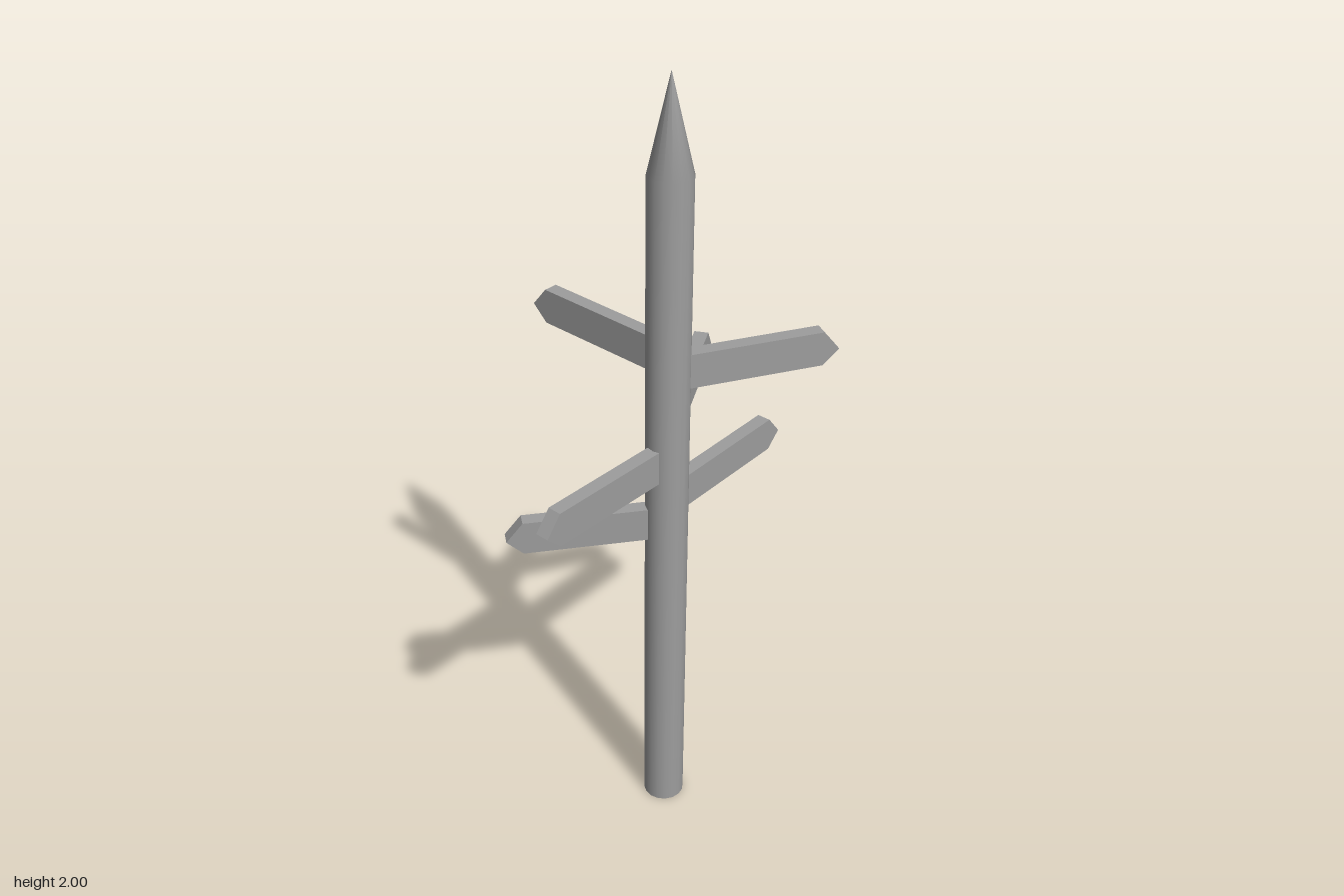
import * as THREE from 'three';

const material = new THREE.MeshStandardMaterial({ color: 0x9d9d9d });
const POST = { x: 0.087, z: 0.006, radius: 0.052, shoulder: 1.775, top: 2 };
const BOARD = { height: 0.087, thickness: 0.035, point: 0.04 };

// Arrow board running along +x, bottom edge on y = 0
function boardGeometry(length) {
  const { height, thickness, point } = BOARD;
  const shape = new THREE.Shape([
    new THREE.Vector2(0, 0),
    new THREE.Vector2(length - point, 0),
    new THREE.Vector2(length, height * 0.43),
    new THREE.Vector2(length - point, height),
    new THREE.Vector2(0, height),
  ]);
  return new THREE.ExtrudeGeometry(shape, { depth: thickness, bevelEnabled: false })
    .translate(0, 0, -thickness / 2);
}

export function createModel() {
  const model = new THREE.Group();
  model.name = 'signpost';

  const add = (geometry, name, x, y, z) => {
    const mesh = new THREE.Mesh(geometry, material);
    mesh.name = name;
    mesh.position.set(x, y, z);
    model.add(mesh);
    return mesh;
  };

  // Round post, smoothly shaded into its sharpened tip
  const { radius, shoulder, top } = POST;
  const profile = [[radius, 0], [radius, shoulder], [0, top]].map(([r, y]) => new THREE.Vector2(r, y));
  add(new THREE.LatheGeometry(profile, 16), 'post', POST.x, 0, POST.z);
  add(new THREE.CircleGeometry(radius, 16).rotateX(Math.PI / 2), 'postBase', POST.x, 0, POST.z);

  // Boards: name, inner end x and z, tip x and z, bottom height
  const boards = [
    ['rightBoard', 0.087, 0.012, -0.317, -0.001, 1.299],
    ['leftBackBoard', 0.091, 0.006, 0.301, -0.345, 1.258],
    ['rightBackBoard', 0.092, 0.006, -0.092, -0.353, 1.118],
    ['frontBoard', 0.087, 0.006, 0.073, 0.415, 1.024],
    ['backBoard', 0.084, 0.006, 0.084, -0.419, 0.904],
    ['rightFrontBoard', 0.087, 0.006, -0.156, 0.307, 0.848],
  ];
  for (const [name, x, z, tipX, tipZ, y] of boards) {
    const dx = tipX - x, dz = tipZ - z;
    add(boardGeometry(Math.hypot(dx, dz)), name, x, y, z).rotation.y = Math.atan2(-dz, dx);
  }

  return model;
}
